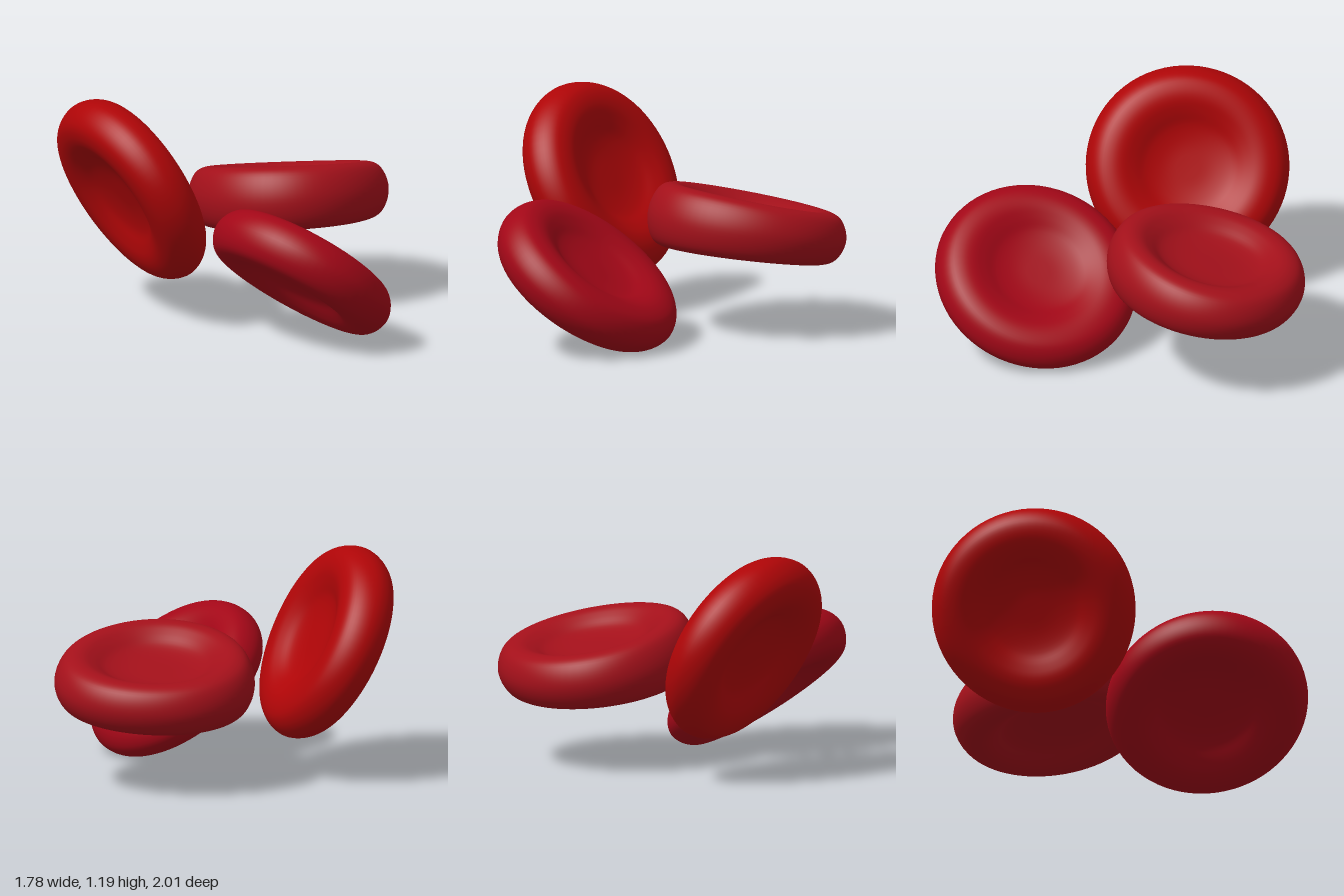
import * as THREE from 'three';
import { mergeVertices } from 'three/addons/utils/BufferGeometryUtils.js';

// Half cross-section of a biconcave disc: [radius, half height], for rim radius 1 and half thickness 1
const HALF = [[0, 0.38], [0.2, 0.41], [0.38, 0.56], [0.51, 0.81], [0.63, 0.98], [0.75, 1], [0.87, 0.86], [0.96, 0.5]];

// dimple < 1 widens the hollow; thickSide is the angle where the rim is fattest, uneven how much fatter;
// waves lists [count, amount, angle] ripples of the outline
function discGeometry({ radius, half, dimple, thickSide, uneven, waves }) {
  const side = HALF.map(([r, h]) => new THREE.Vector3(radius * r ** dimple, h * half, 0));
  const outline = [
    ...side.map((p) => new THREE.Vector3(p.x, -p.y, 0)),
    new THREE.Vector3(radius, 0, 0),
    ...side.slice().reverse(),
  ];
  const profile = new THREE.CatmullRomCurve3(outline).getPoints(64)
    .map((p) => new THREE.Vector2(Math.max(0, p.x), p.y));
  let geo = new THREE.LatheGeometry(profile, 72);

  // Soft irregularity: wavy outline and uneven thickness
  const pos = geo.attributes.position;
  for (let i = 0; i < pos.count; i++) {
    const x = pos.getX(i), y = pos.getY(i), z = pos.getZ(i);
    const a = Math.atan2(z, x), t = Math.hypot(x, z) / radius;
    const s = waves.reduce((sum, [n, amount, angle]) => sum + amount * t * Math.cos(n * (a - angle)), 1);
    const thick = 1 + uneven * t * Math.cos(a - thickSide);
    pos.setXYZ(i, x * s, y * thick, z * s);
  }

  // Weld the seam and poles so the surface is smooth all round
  geo.deleteAttribute('uv');
  geo.deleteAttribute('normal');
  geo = mergeVertices(geo, 1e-5);
  geo.computeVertexNormals();
  return geo;
}

const CELLS = [
  {
    name: 'rightBloodCell', color: 0xa3101a, centre: [0.356, 0.547, -0.225], axis: [0.105, 1, -0.165],
    radius: 0.523, half: 0.15, dimple: 0.72, thickSide: 2.6, uneven: 0.14, waves: [[3, 0.02, 2.36]],
  },
  {
    name: 'frontBloodCell', color: 0xa20717, centre: [-0.275, 0.367, 0.478], axis: [0.61, 0.787, 0.07],
    radius: 0.524, half: 0.13, dimple: 0.88, thickSide: 2.36, uneven: 0.1,
    waves: [[2, 0.025, 2.36], [1, 0.02, 0.78]],
  },
  {
    name: 'backBloodCell', color: 0xae0507, centre: [-0.55, 0.69, -0.478], axis: [0.86, 0.44, 0.235],
    radius: 0.534, half: 0.136, dimple: 0.9, thickSide: 3.6, uneven: 0.05, waves: [[3, 0.006, 0.5]],
  },
];

export function createModel() {
  const model = new THREE.Group();
  model.name = 'bloodCells';
  const up = new THREE.Vector3(0, 1, 0);
  for (const c of CELLS) {
    const cell = new THREE.Mesh(discGeometry(c), new THREE.MeshStandardMaterial({ color: c.color }));
    cell.name = c.name;
    cell.position.set(...c.centre);
    cell.quaternion.setFromUnitVectors(up, new THREE.Vector3(...c.axis).normalize());
    model.add(cell);
  }
  return model;
}
